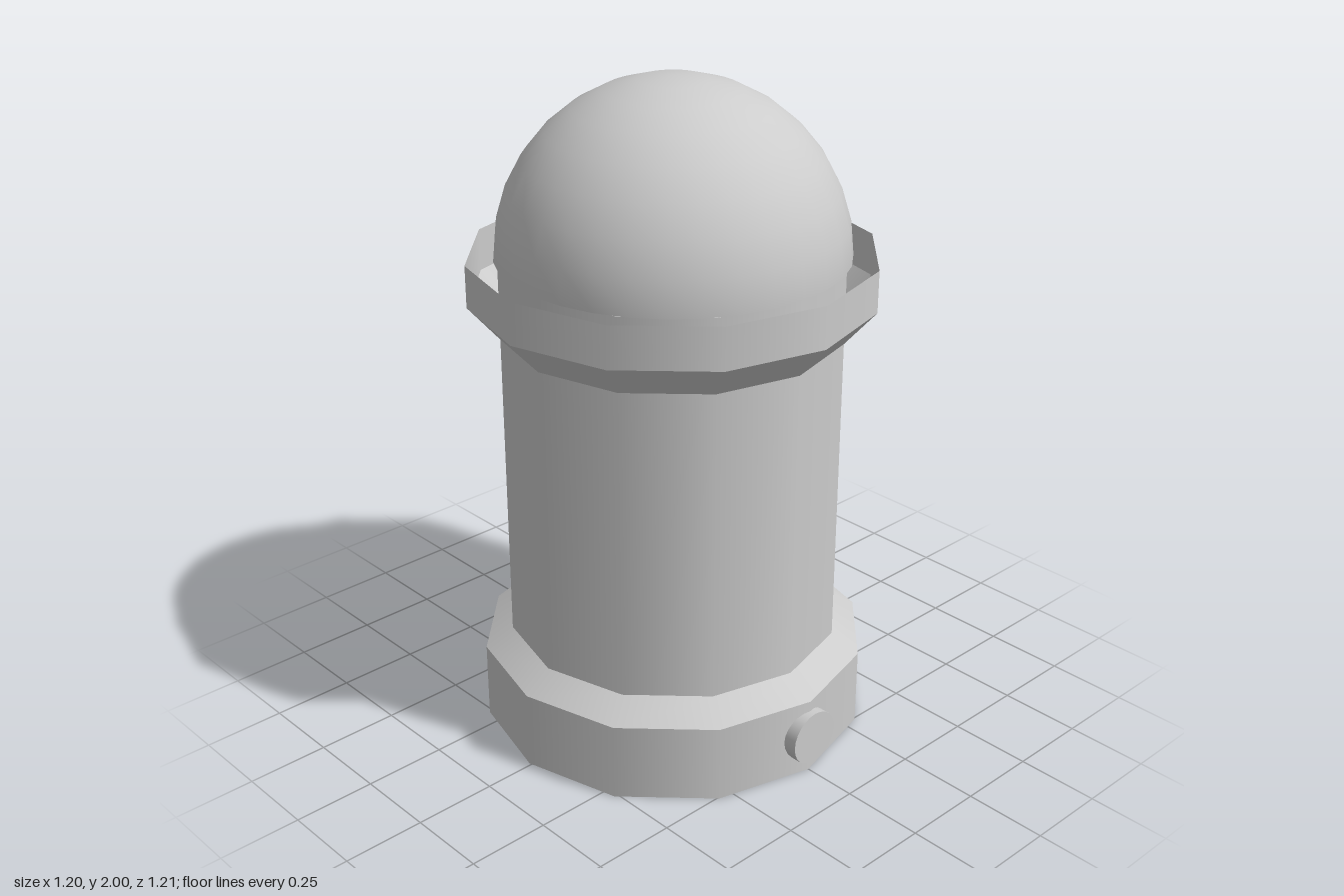
import * as THREE from 'three';

export function createModel() {
  const model = new THREE.Group();
  const grey = new THREE.MeshStandardMaterial({ color: 0xcccccc, side: THREE.DoubleSide });
  grey.name = 'light grey';

  // upright column that carries every part except the knob's offset
  const column = new THREE.Group();
  column.name = 'column';
  column.position.z = -0.008;
  model.add(column);

  function add(name, geometry, x = 0, y = 0, z = 0) {
    const mesh = new THREE.Mesh(geometry, grey);
    mesh.name = name;
    mesh.position.set(x, y, z);
    column.add(mesh);
    return mesh;
  }

  // twelve-sided tube between two heights
  function band(name, rBottom, rTop, y0, y1, open = true) {
    return add(name, new THREE.CylinderGeometry(rTop, rBottom, y1 - y0, 12, 1, open), 0, (y0 + y1) / 2);
  }

  // body, closed at both ends
  band('body', 0.508, 0.508, 0.13, 1.48, false);

  // hollow foot, open below
  band('footWall', 0.592, 0.592, 0, 0.24);
  band('footShoulder', 0.592, 0.508, 0.24, 0.3);

  // hollow collar, open above
  band('collarFlare', 0.508, 0.6, 1.26, 1.365);
  band('collarWall', 0.6, 0.6, 1.365, 1.492);

  // dome
  add('dome', new THREE.SphereGeometry(0.516, 32, 8, 0, Math.PI * 2, 0, Math.PI / 2), 0, 1.484);

  // round knob through the front of the foot
  const knob = add('knob', new THREE.CylinderGeometry(0.084, 0.084, 0.06, 24), 0, 0.123, 0.582);
  knob.rotation.x = Math.PI / 2;

  return model;
}
